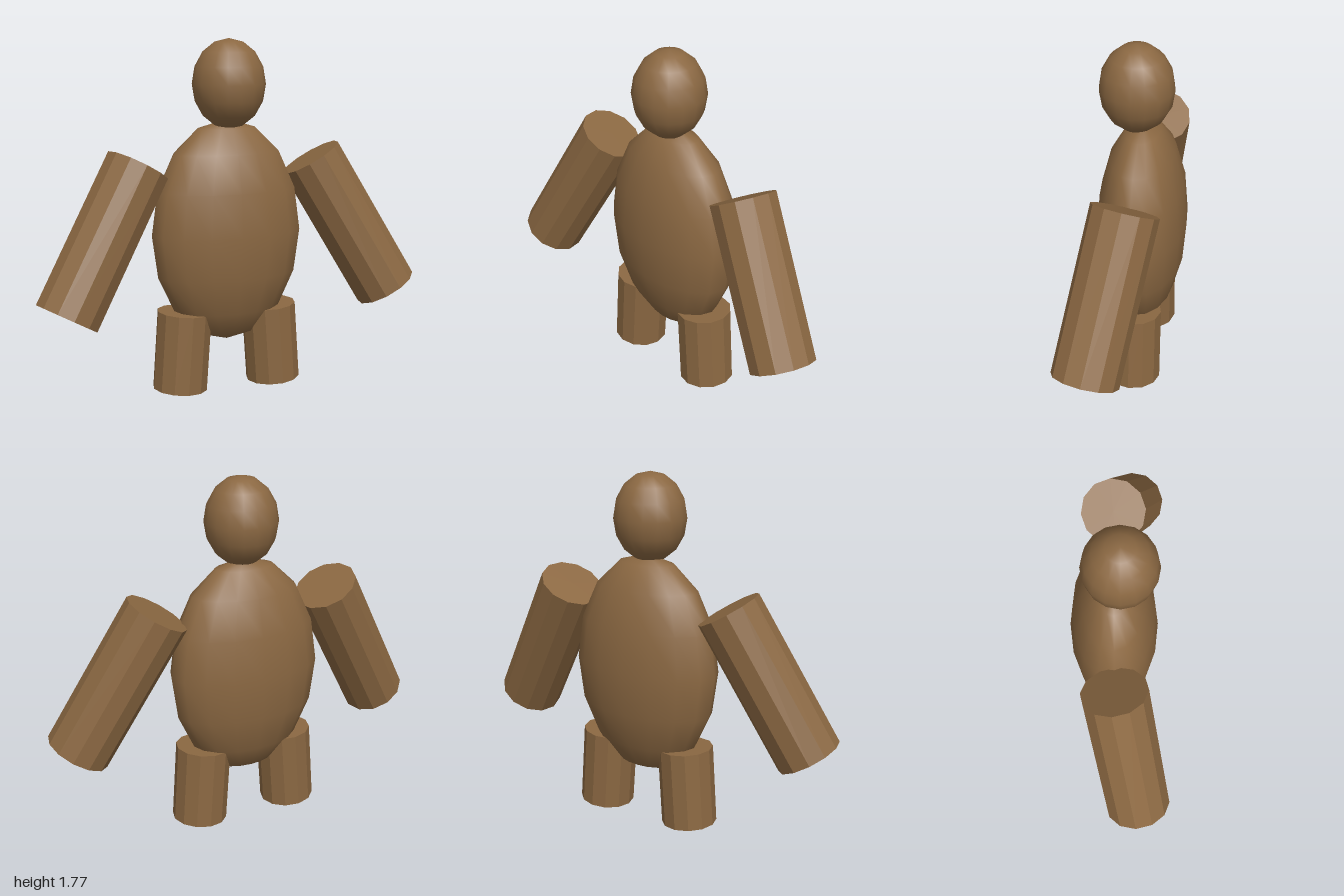
import * as THREE from 'three';

export function createModel() {
  const model = new THREE.Group();
  const brown = new THREE.MeshStandardMaterial({ color: 0x8b6842 });
  brown.name = 'brown';

  function add(name, geometry, x, y, z) {
    const mesh = new THREE.Mesh(geometry, brown);
    mesh.name = name;
    mesh.position.set(x, y, z);
    model.add(mesh);
    return mesh;
  }

  // Smooth ellipsoid
  const ellipsoid = (rx, ry, rz) => new THREE.SphereGeometry(1, 16, 8).scale(rx, ry, rz);

  // Faceted cylinder
  function limb(radius, length) {
    const geometry = new THREE.CylinderGeometry(radius, radius, length, 12).toNonIndexed();
    geometry.computeVertexNormals();
    return geometry;
  }

  add('body', ellipsoid(0.395, 0.565, 0.222), 0, 0.81, -0.03);
  add('head', ellipsoid(0.182, 0.221, 0.182), 0, 1.55, 0);

  // Mirrored limbs
  for (const [side, s] of [['left', 1], ['right', -1]]) {
    // Arms splay outward and reach slightly forward
    add(side + 'Arm', limb(0.163, 0.806), s * 0.658, 0.815, 0.027)
      .rotation.set(-0.164, 0, s * 0.511);
    add(side + 'Leg', limb(0.139, 0.4), s * 0.243, 0.213, -0.026)
      .rotation.set(0, 0, s * 0.07);
  }
  return model;
}
